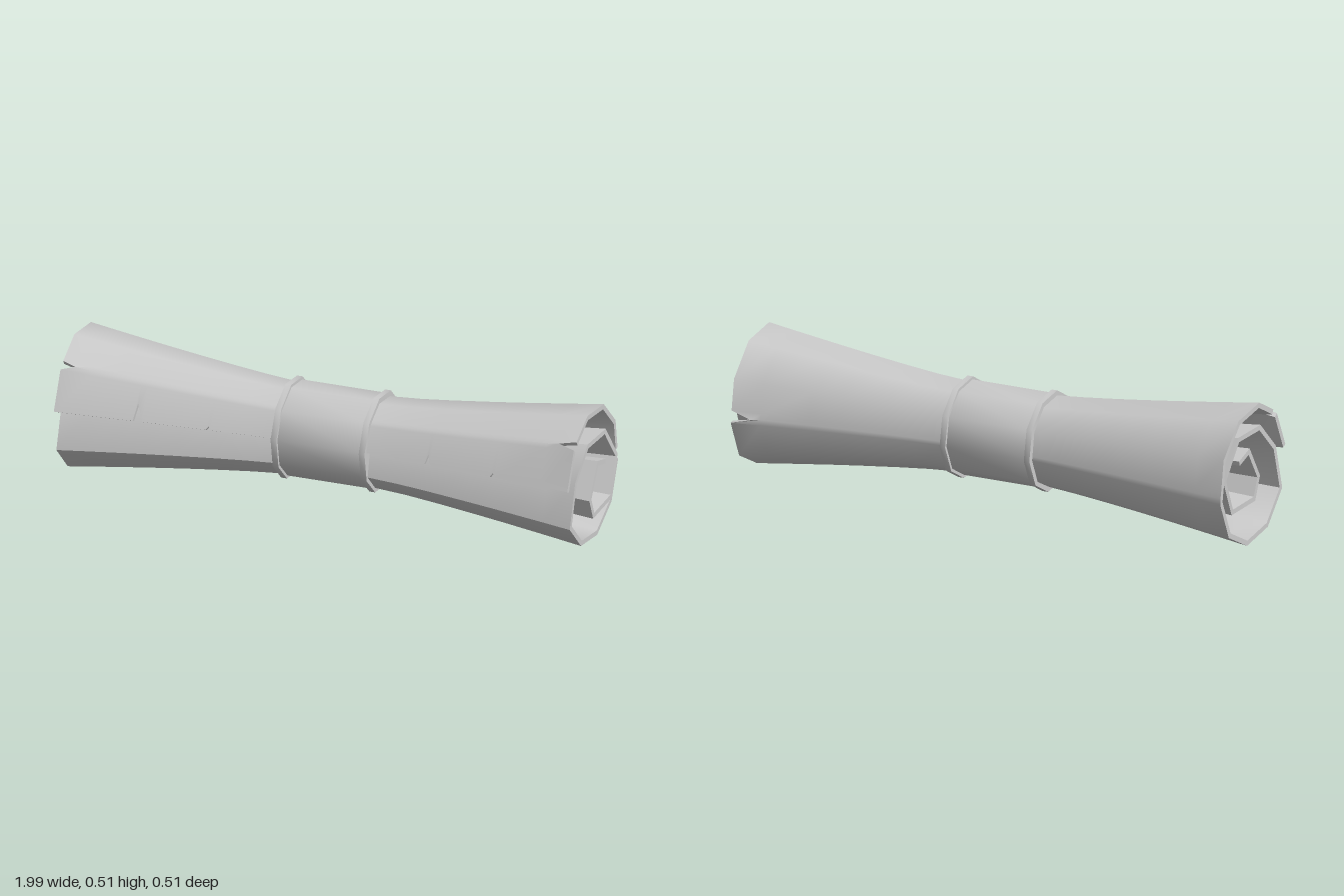
import * as THREE from 'three';
import { toCreasedNormals } from 'three/addons/utils/BufferGeometryUtils.js';

const CY = 0.253; // height of the roll axis

// Rolled sheet section, from the loose flap to the inner tip: [z, y, tear depth at +x, tear depth at -x]
const SPIRAL = [
  [0.25, 0.29], [0.185, 0.425], [0.172, 0.438, 0.06, 0.05], [0.158, 0.447], [0.05, 0.505], [-0.11, 0.485],
  [-0.225, 0.375], [-0.244, 0.262], [-0.249, 0.24, 0.08], [-0.251, 0.218], [-0.185, 0.075], [-0.045, 0.003],
  [0.115, 0.025], [0.23, 0.135], [0.19, 0.302], [0.085, 0.41], [-0.073, 0.408], [-0.172, 0.272],
  [-0.1, 0.128], [0.086, 0.125], [0.123, 0.208], [0.043, 0.332], [-0.038, 0.308],
];
const STATIONS = [-0.99, -0.88, -0.78, -0.705, -0.695, -0.67, -0.55, -0.44, -0.43, -0.42, -0.3, -0.18,
  0.15, 0.28, 0.39, 0.4, 0.41, 0.55, 0.65, 0.66, 0.67, 0.85, 0.96];
// Tears in the flap edge: station -> fraction of the first segment
const TEARS = { '-0.695': 0.5, '-0.43': 0.12, '0.4': 0.33, '0.66': 0.12 };
const THICKNESS = 0.018;

const flare = (x) => 0.64 + 0.36 * Math.pow(Math.max(0, (Math.abs(x) - 0.17) / 0.8), 1.2);

function sheetGeometry() {
  const n = SPIRAL.length;
  const outer = SPIRAL.map(([z, y]) => new THREE.Vector2(z, y - CY));
  // Inner skin: each point moved inward along the mitred normal
  const inner = outer.map((p, i) => {
    const side = (a, b) => {
      const d = b.clone().sub(a).normalize();
      return new THREE.Vector2(-d.y, d.x);
    };
    const n1 = side(outer[Math.max(i - 1, 0)], outer[Math.max(i, 1)]);
    const n2 = side(outer[Math.min(i, n - 2)], outer[Math.min(i + 1, n - 1)]);
    const m = n1.clone().add(n2).normalize();
    return p.clone().addScaledVector(m, THICKNESS / Math.max(0.5, m.dot(n1)));
  });

  const last = STATIONS.length - 1;
  const vertex = (i, isInner, j) => {
    const x0 = STATIONS[j];
    const pts = isInner ? inner : outer;
    const p = pts[i].clone();
    if (i === 0) p.lerp(pts[1], TEARS[x0] || 0);
    const s = flare(x0);
    // Inner turns slide out slightly toward +x
    let x = x0 + 0.035 * THREE.MathUtils.smoothstep(i, 12, 19);
    if (j === last) x -= SPIRAL[i][2] || 0;
    if (j === 0) x += SPIRAL[i][3] || 0;
    return [x, CY + p.y * s, p.x * s];
  };
  // Closed section loop: outer skin forward, inner skin back
  const loop = (k, j) => {
    const m = k % (2 * n);
    return m < n ? vertex(m, false, j) : vertex(2 * n - 1 - m, true, j);
  };

  const pos = [];
  const quad = (a, b, c, d) => pos.push(...a, ...b, ...c, ...a, ...c, ...d);
  for (let j = 0; j < last; j++) {
    for (let k = 0; k < 2 * n; k++) {
      quad(loop(k, j), loop(k, j + 1), loop(k + 1, j + 1), loop(k + 1, j));
    }
  }
  // Rims at both ends
  for (let i = 0; i < n - 1; i++) {
    const rim = (j) => [vertex(i, false, j), vertex(i + 1, false, j), vertex(i + 1, true, j), vertex(i, true, j)];
    quad(...rim(0));
    quad(...rim(last).reverse());
  }
  const g = new THREE.BufferGeometry();
  g.setAttribute('position', new THREE.Float32BufferAttribute(pos, 3));
  return toCreasedNormals(g, 0.8);
}

export function createModel() {
  const group = new THREE.Group();
  const material = new THREE.MeshStandardMaterial({ color: 0xcccccc, side: THREE.DoubleSide });
  const add = (name, geometry) => {
    const mesh = new THREE.Mesh(geometry, material);
    mesh.name = name;
    group.add(mesh);
  };

  add('rolledSheet', sheetGeometry());

  // Ten-sided closed drum along x, corners lined up with the roll
  const drum = (radius, x0, x1) => {
    const g = new THREE.CylinderGeometry(radius, radius, x1 - x0, 10, 1, false, THREE.MathUtils.degToRad(-7));
    g.rotateZ(-Math.PI / 2).translate((x0 + x1) / 2, 0.255, -0.003);
    return toCreasedNormals(g, 0.8);
  };
  add('band', drum(0.172, -0.18, 0.15));
  add('bandRimRight', drum(0.183, -0.195, -0.173));
  add('bandRimLeft', drum(0.183, 0.14, 0.162));
  return group;
}
